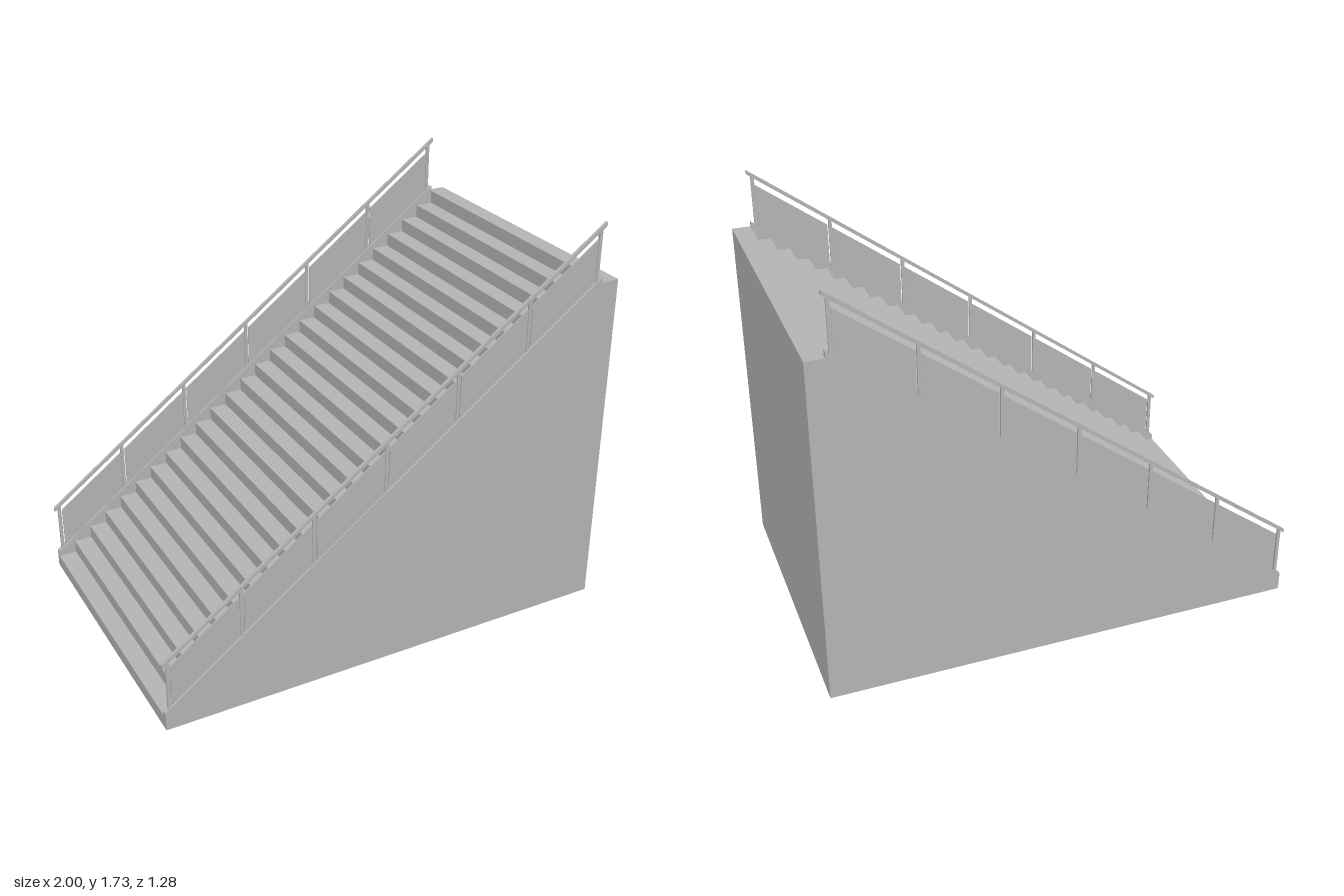
import * as THREE from 'three';

const STEPS = 26, RUN = 2 / STEPS, HEIGHT = 1.482, RISE = HEIGHT / STEPS;
const SLOPE = RISE / RUN;
const HALF_W = 0.642, WALL = 0.022, SHEET = 0.01;
const X_TOP = 1 - RUN;                              // where the last riser stands
const curbY = (x) => 0.08 + SLOPE * (x + 1);        // sloping top of the side walls
const railY = (x) => 0.298 + SLOPE * (x + 1);       // centre line of the handrail

export function createModel() {
  const grey = new THREE.MeshStandardMaterial({ color: 0xb4b4b4 });
  grey.name = 'concrete grey';
  const model = new THREE.Group();
  model.name = 'staircase';

  // Extrudes an outline in x,y, centred on z
  const slab = (name, points, depth, z, parent) => {
    const shape = new THREE.Shape(points.map(([x, y]) => new THREE.Vector2(x, y)));
    const geometry = new THREE.ExtrudeGeometry(shape, { depth, bevelEnabled: false });
    geometry.translate(0, 0, z - depth / 2);
    const mesh = new THREE.Mesh(geometry, grey);
    mesh.name = name;
    parent.add(mesh);
    return mesh;
  };

  // Folded sheet of risers and treads, ending in the tall back wall
  const upper = [], lower = [];
  for (let i = 0; i < STEPS; i++) {
    const x = -1 + i * RUN;
    upper.push([x, i * RISE], [x, (i + 1) * RISE]);
    lower.push([x + SHEET, Math.max(0, i * RISE - SHEET)], [x + SHEET, (i + 1) * RISE - SHEET]);
  }
  upper.push([1, HEIGHT], [1, 0]);
  lower.push([1 - SHEET, HEIGHT - SHEET], [1 - SHEET, 0]);
  slab('stepsAndBackWall', [...upper, ...lower.reverse()], 2 * (HALF_W - WALL), 0, model);

  const posts = [-0.978, -0.665, -0.352, -0.038, 0.275, 0.588, 0.9];
  const postW = 0.014;

  for (const side of [1, -1]) {
    const label = side > 0 ? 'front' : 'back';

    // Side wall with raised sloping curb
    slab(label + 'SideWall', [
      [-1, 0], [1, 0], [1, HEIGHT], [X_TOP, HEIGHT], [X_TOP, curbY(X_TOP)], [-1, curbY(-1)],
    ], WALL, side * (HALF_W - WALL / 2), model);

    // Balustrade on the curb
    const balustrade = new THREE.Group();
    balustrade.name = label + 'Balustrade';
    balustrade.position.z = side * 0.63;
    model.add(balustrade);

    // Piece with upright ends and a sloping top and bottom
    const sloped = (name, x0, x1, bottom, top, depth) => slab(name, [
      [x0, bottom(x0)], [x1, bottom(x1)], [x1, top(x1)], [x0, top(x0)],
    ], depth, 0, balustrade);

    posts.forEach((x, i) => {
      sloped('post', x - postW / 2, x + postW / 2, (v) => curbY(v) - 0.01, railY, 0.01);
      if (i < posts.length - 1) {
        sloped('infillPanel', x + postW / 2 + 0.005, posts[i + 1] - postW / 2 - 0.001,
          curbY, (v) => railY(v) - 0.036, 0.005);
      }
    });

    // Handrail
    sloped('handrail', -1, X_TOP, (v) => railY(v) - 0.008, (v) => railY(v) + 0.008, 0.014);
  }
  return model;
}
